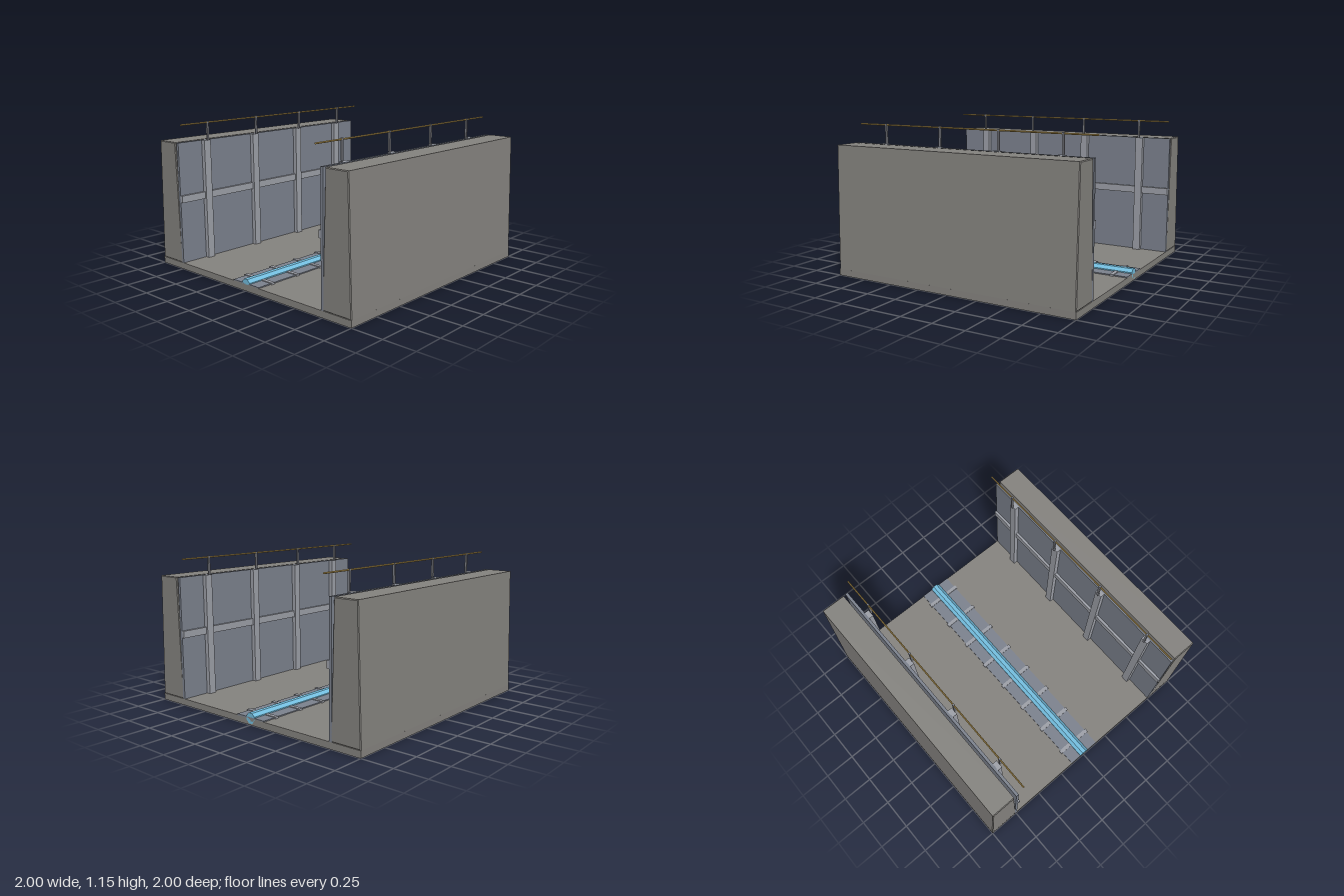
import * as THREE from 'three';

const mat = (color) => new THREE.MeshStandardMaterial({ color, flatShading: true });
const concrete = mat(0x85837f);
const panel = mat(0x7c828e);
const steel = mat(0x9da0a8);
const darkSteel = mat(0x7d7f86);
const yellow = mat(0xc9a75a);
const blue = mat(0x74bfe0);

function add(parent, name, geometry, material, x = 0, y = 0, z = 0) {
  const mesh = new THREE.Mesh(geometry, material);
  mesh.name = name;
  mesh.position.set(x, y, z);
  parent.add(mesh);
  return mesh;
}

// Box given by its lower and upper limits in x and y, centred on z
function slab(parent, name, material, x0, x1, y0, y1, depth, z = 0) {
  return add(parent, name, new THREE.BoxGeometry(x1 - x0, y1 - y0, depth), material,
    (x0 + x1) / 2, (y0 + y1) / 2, z);
}

// Tapered retaining wall with a slim chamfer
function wallGeometry() {
  const b = 0.006;
  const shape = new THREE.Shape([
    new THREE.Vector2(0.753 + b, 0.05 + b),
    new THREE.Vector2(1 - b, 0.05 + b),
    new THREE.Vector2(0.972 - b, 1 - b),
    new THREE.Vector2(0.78 + b, 1 - b),
  ]);
  const geometry = new THREE.ExtrudeGeometry(shape, {
    depth: 2 - 2 * b, bevelEnabled: true, bevelSize: b, bevelThickness: b, bevelSegments: 1,
  });
  return geometry.translate(0, 0, -1 + b);
}

// One side: wall, lining, posts, waler and handrail
function createSide(name) {
  const side = new THREE.Group();
  side.name = name;
  add(side, 'retainingWall', wallGeometry(), concrete);
  slab(side, 'liningPanel', panel, 0.74, 0.762, 0.05, 1, 2);
  slab(side, 'horizontalWaler', steel, 0.72, 0.741, 0.535, 0.59, 2);
  for (const z of [-0.75, -0.25, 0.25, 0.75]) {
    slab(side, 'supportPost', steel, 0.705, 0.745, 0.05, 1, 0.06, z);
    slab(side, 'railingPost', darkSteel, 0.692, 0.707, 1, 1.15, 0.015, z);
  }
  const rail = new THREE.CylinderGeometry(0.006, 0.006, 2, 8).rotateX(Math.PI / 2);
  add(side, 'handrail', rail, yellow, 0.699, 1.14, 0);
  return side;
}

export function createModel() {
  const model = new THREE.Group();
  model.name = 'trench';

  slab(model, 'floor', concrete, -1, 1, 0, 0.05, 2);

  const left = createSide('leftSide');
  const right = createSide('rightSide');
  right.rotation.y = Math.PI;
  model.add(left, right);

  // Central bed with cross ties and a half-buried pipe
  slab(model, 'pipeBed', panel, -0.135, 0.135, 0.045, 0.058, 2);
  for (let i = 0; i < 8; i++) {
    slab(model, 'crossTie', steel, -0.147, 0.147, 0.045, 0.064, 0.03, -0.88 + i * 0.25);
  }
  const pipe = new THREE.CylinderGeometry(0.043, 0.043, 2, 8)
    .rotateY(Math.PI / 8).rotateX(Math.PI / 2);
  add(model, 'pipe', pipe, blue, 0, 0.05, 0);

  return model;
}
